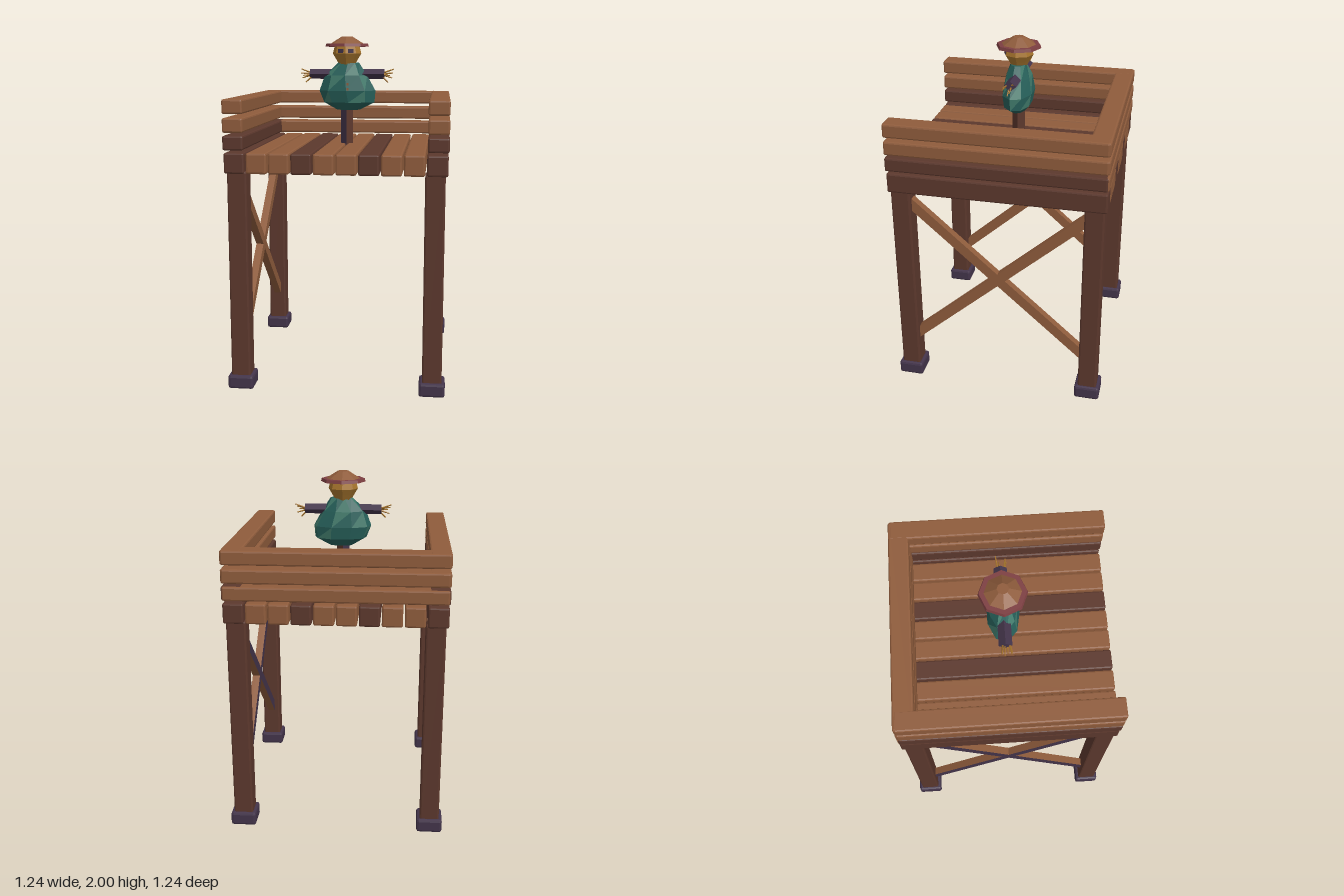
import * as THREE from 'three';
import { RoundedBoxGeometry } from 'three/addons/geometries/RoundedBoxGeometry.js';

const material = (name, color) => {
  const m = new THREE.MeshStandardMaterial({ color });
  m.name = name;
  return m;
};

export function createModel() {
  const lightWood = material('lightWood', 0x8f5c3c);
  const darkWood = material('darkWood', 0x5c382d);
  const plum = material('plum', 0x43344a);
  const teal = material('teal', 0x27605a);
  const paleTeal = material('paleTeal', 0x40796a);
  const straw = material('straw', 0xa8762e);
  const brimRed = material('brimRed', 0x7d3f42);

  const model = new THREE.Group();
  const add = (name, geometry, mat, x = 0, y = 0, z = 0, parent = model) => {
    const mesh = new THREE.Mesh(geometry, mat);
    mesh.name = name;
    mesh.position.set(x, y, z);
    parent.add(mesh);
    return mesh;
  };

  // Box with chamfered edges and flat faces
  const beam = (w, h, d, bevel = 0.01) => {
    const g = new RoundedBoxGeometry(w, h, d, 1, bevel);
    g.computeVertexNormals();
    return g;
  };

  const faceted = (g) => {
    const flat = g.toNonIndexed();
    flat.computeVertexNormals();
    return flat;
  };

  // Faceted solid from elliptical rings [y, radiusX, radiusZ, centreX]; pick() chooses the material of a facet
  const loft = (rings, sides, pick = () => 0) => {
    const point = (r, i) => {
      const [y, rx, rz, cx = 0] = rings[r];
      const a = (i / sides) * Math.PI * 2 + Math.PI / 2;
      return [cx + Math.cos(a) * rx, y, Math.sin(a) * rz];
    };
    const positions = [];
    const geometry = new THREE.BufferGeometry();
    const tri = (slot, ...corners) => {
      geometry.addGroup(positions.length / 3, 3, slot);
      corners.forEach((c) => positions.push(...c));
    };
    const last = rings.length - 1;
    for (let i = 0; i < sides; i++) {
      for (let r = 0; r < last; r++) {
        const a = point(r, i), b = point(r, i + 1);
        const c = point(r + 1, i + 1), d = point(r + 1, i);
        tri(pick(r, i, 0), a, d, b);
        tri(pick(r, i, 1), b, d, c);
      }
      tri(0, [rings[0][3] || 0, rings[0][0], 0], point(0, i), point(0, i + 1));
      tri(0, [rings[last][3] || 0, rings[last][0], 0], point(last, i + 1), point(last, i));
    }
    geometry.setAttribute('position', new THREE.Float32BufferAttribute(positions, 3));
    geometry.computeVertexNormals();
    return geometry;
  };

  // Legs and feet
  for (const x of [-0.545, 0.545]) {
    for (const z of [-0.545, 0.545]) {
      add('leg', beam(0.11, 1.2, 0.11), darkWood, x, 0.66, z);
      add('foot', beam(0.147, 0.08, 0.147, 0.014), plum, x, 0.04, z);
    }
  }

  // Crossed braces on both sides, plum on their right-hand faces
  const slope = Math.atan2(0.87, 0.98);
  for (const x of [-0.545, 0.545]) {
    for (const dir of [-1, 1]) {
      const mats = [lightWood, plum, lightWood, lightWood, lightWood, lightWood];
      const brace = add('brace', new THREE.BoxGeometry(0.045, 0.058, 1.36), mats, x, 0.725, 0);
      brace.rotation.x = dir * slope;
    }
  }

  // Floor planks
  for (let i = 0; i < 10; i++) {
    add('floorPlank', beam(0.114, 0.115, 1.226), i % 3 === 0 ? darkWood : lightWood, (i - 4.5) * 0.1236, 1.305, 0);
  }

  // Rails on three sides, front left open
  [1.417, 1.513, 1.615].forEach((y, row) => {
    for (const side of [-1, 1]) {
      add('sideRail', beam(0.115, 0.08, 1.228), row === 0 ? darkWood : lightWood, side * 0.56, y, 0.003);
    }
    add('backRail', beam(1.226, 0.079, 0.115), lightWood, 0, y, -0.5595);
  });

  const scarecrow = new THREE.Group();
  scarecrow.name = 'scarecrow';
  model.add(scarecrow);

  // Post, turned corner-on
  const postMats = [lightWood, plum, lightWood, lightWood, darkWood, plum];
  postMats[0] = darkWood;
  add('post', new THREE.BoxGeometry(0.053, 0.4, 0.053), postMats, 0, 1.55, 0, scarecrow).rotation.y = Math.PI / 4;

  // Sack body
  const sack = loft([
    [1.565, 0.07, 0.04, 0.01],
    [1.61, 0.155, 0.08, 0.015],
    [1.68, 0.172, 0.092, 0.004],
    [1.77, 0.13, 0.075, -0.005],
    [1.845, 0.065, 0.045, 0.01],
  ], 9, (r, i, half) => (r > 0 && (r * 3 + i * 5 + half * 2) % 7 < 2 ? 1 : 0));
  add('sackBody', sack, [teal, paleTeal], 0, 0, 0, scarecrow);

  // Stitches on the chest
  for (const y of [1.69, 1.72]) {
    add('stitch', new THREE.BoxGeometry(0.012, 0.016, 0.008), lightWood, 0.012, y, 0.087, scarecrow);
  }

  // Arm bar with a diamond section
  const armBar = new THREE.CylinderGeometry(0.036, 0.036, 0.45, 4);
  armBar.rotateZ(Math.PI / 2);
  armBar.scale(1, 0.8, 1);
  add('armBar', faceted(armBar), plum, 0, 1.778, 0, scarecrow);

  // Straw fingers
  const fingers = [[0.282, 1.808, -0.022], [0.277, 1.785, 0.03], [0.272, 1.755, -0.006], [0.25, 1.728, 0.012], [0.262, 1.77, 0.034]];
  for (const side of [-1, 1]) {
    for (const [x, y, z] of fingers) {
      const from = new THREE.Vector3(side * 0.2, 1.778, z * 0.6);
      const reach = new THREE.Vector3(side * x, y, z).sub(from);
      const finger = add('strawFinger', faceted(new THREE.CylinderGeometry(0.003, 0.006, reach.length(), 4)), straw,
        ...from.clone().addScaledVector(reach, 0.5).toArray(), scarecrow);
      finger.quaternion.setFromUnitVectors(new THREE.Vector3(0, 1, 0), reach.normalize());
    }
  }

  // Head and eyes
  add('head', loft([[1.83, 0.045, 0.045], [1.865, 0.065, 0.065], [1.9, 0.086, 0.086], [1.945, 0.074, 0.074]], 8),
    straw, 0, 0, 0, scarecrow);
  for (const side of [-1, 1]) {
    const a = side * Math.PI / 8;
    const eye = add('eye', new THREE.BoxGeometry(0.034, 0.022, 0.009), plum,
      Math.sin(a) * 0.076, 1.914, Math.cos(a) * 0.076, scarecrow);
    eye.rotation.y = a;
  }

  // Hat
  add('hatBrim', faceted(new THREE.CylinderGeometry(0.125, 0.131, 0.018, 8)), brimRed, 0, 1.949, 0, scarecrow);
  add('hatCrown', faceted(new THREE.CylinderGeometry(0.032, 0.104, 0.045, 8)), lightWood, 0, 1.9775, 0, scarecrow);

  return model;
}
